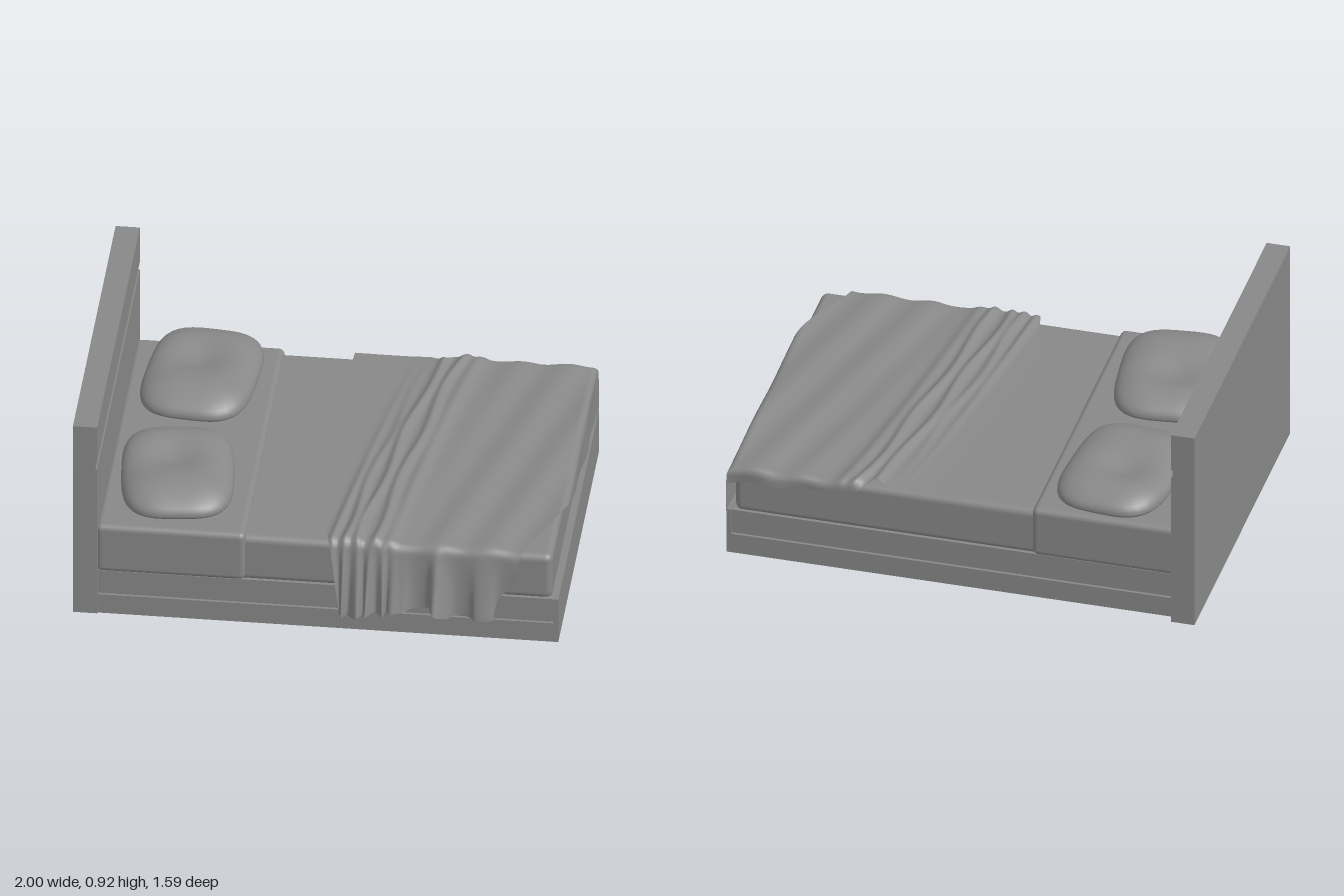
import * as THREE from 'three';
import { mergeVertices } from 'three/addons/utils/BufferGeometryUtils.js';
import { RoundedBoxGeometry } from 'three/addons/geometries/RoundedBoxGeometry.js';

const material = new THREE.MeshStandardMaterial({ color: 0x888888, side: THREE.DoubleSide });

function add(parent, name, geometry) {
  const mesh = new THREE.Mesh(geometry, material);
  mesh.name = name;
  parent.add(mesh);
  return mesh;
}

// Box given by its two extremes; a radius rounds its edges
function box(parent, name, [x0, y0, z0], [x1, y1, z1], radius = 0) {
  const size = [x1 - x0, y1 - y0, z1 - z0];
  const g = radius ? new RoundedBoxGeometry(...size, 4, radius) : new THREE.BoxGeometry(...size);
  g.translate((x0 + x1) / 2, (y0 + y1) / 2, (z0 + z1) / 2);
  return add(parent, name, g);
}

const { lerp, clamp } = THREE.MathUtils;
const bump = (t, width) => Math.exp(-((t / width) ** 2));

// Piecewise linear lookup through [t, value] pairs
function lookup(points, t) {
  let i = 1;
  while (i < points.length - 1 && t > points[i][0]) i++;
  const [t0, a] = points[i - 1], [t1, b] = points[i];
  return lerp(a, b, clamp((t - t0) / (t1 - t0), 0, 1));
}

// Cloth running over an edge: distance past it becomes [outward, down]
function bend(t, r = 0.03) {
  if (t <= 0) return [0, 0];
  const a = Math.min(t / r, Math.PI / 2);
  return [r * Math.sin(a), r * (1 - Math.cos(a)) + Math.max(0, t - r * Math.PI / 2)];
}

// Headboard profile with a shallow square groove on its inner face
function headboardGeometry() {
  const profile = [[-1, 0.01], [-0.9, 0.01], [-0.9, 0.715], [-0.907, 0.715],
    [-0.907, 0.75], [-0.9, 0.75], [-0.9, 0.92], [-1, 0.92]];
  const shape = new THREE.Shape(profile.map(([x, y]) => new THREE.Vector2(x, y)));
  const g = new THREE.ExtrudeGeometry(shape, { depth: 1.505, bevelEnabled: false });
  return g.translate(0, 0, -0.803);
}

// Cushion with a rounded rectangular outline, pinched seam and a dent on top
function pillowGeometry() {
  let g = new THREE.SphereGeometry(1, 56, 32);
  const p = g.attributes.position;
  for (let i = 0; i < p.count; i++) {
    const x = p.getX(i), y = p.getY(i), z = p.getZ(i);
    const rho = Math.hypot(x, z), a = Math.atan2(z, x);
    const c = Math.cos(a), s = Math.sin(a);
    const out = rho * (Math.abs(c) ** 3.4 + Math.abs(s) ** 3.4) ** (-1 / 3.4);
    const px = 0.232 * out * c, pz = 0.322 * out * s;
    const h = Math.abs(y);
    const dent = 0.045 * bump(px + 0.02, 0.13) * bump(pz + 0.05, 0.12) * h;
    const top = 0.09 * h ** 0.9 + 0.012 * bump(Math.abs(pz) - 0.2, 0.08) * h - dent;
    p.setXYZ(i, px, y > 0 ? top : -0.045 * Math.min(1, h * 1.3), pz);
  }
  g.deleteAttribute('uv');
  g.deleteAttribute('normal');
  g = mergeVertices(g, 1e-5);
  g.computeVertexNormals();
  return g;
}

// Blanket outline in flat cloth coordinates
const nearEdge = [[-0.75, -0.005], [0, -0.045], [0.3, -0.035], [0.45, -0.01], [0.6, 0.035], [0.75, 0.07], [1, 0.095]];
const footEdge = [[-0.8, 1.19], [-0.6, 1.18], [-0.3, 1.135], [0, 1.085], [0.2, 1.03], [0.3, 0.99],
  [0.45, 0.94], [0.6, 0.87], [0.68, 0.845], [0.8, 0.81], [0.88, 0.76], [1, 0.72]];
const backHem = [[0, -0.745], [0.26, -0.74], [0.32, -0.71], [0.38, -0.79], [0.7, -0.81], [1, -0.84]];
const frontHem = [[0, 0.973], [0.1, 0.973], [0.13, 0.96], [0.29, 0.95], [0.52, 0.945], [0.6, 0.915], [0.7, 0.965], [1, 0.965]];

function blanketGeometry() {
  const g = new THREE.PlaneGeometry(1, 1, 170, 150).rotateX(-Math.PI / 2);
  const p = g.attributes.position;
  for (let i = 0; i < p.count; i++) {
    const u = p.getX(i) + 0.5, v = p.getZ(i) + 0.5;
    const b = lerp(lookup(backHem, u), lookup(frontHem, u), v);
    const a = lerp(lookup(nearEdge, b), lookup(footEdge, b), u);

    // Drape over the foot, front and back edges
    const [footOut, footDrop] = bend(a - 0.965);
    const [frontOut, frontDrop] = bend(b - 0.65);
    const [backOut, backDrop] = bend(-0.735 - b);
    let x = Math.min(a, 0.965) + footOut;
    let z = clamp(b, -0.735, 0.65) + frontOut - backOut;
    const drop = Math.max(footDrop, frontDrop, backDrop);

    // Curved gathers across the top, softer creases toward the foot
    const t = clamp((b + 0.77) / 1.43, 0, 1);
    const r = a - lerp(0.42, 0.2, t ** 0.75);
    const wobble = 0.01 * Math.sin(b * 9);
    let lift = 0.02 * bump(r - 0.04 + wobble, 0.022) + 0.018 * bump(r + 0.03 - wobble, 0.02)
      + 0.02 * bump(r + 0.085 + wobble, 0.02) * t + 0.016 * bump(r + 0.135, 0.018) * t
      + 0.014 * bump(r - 0.1, 0.03) + 0.01 * bump(r, 0.12);
    lift += 0.006 * (1 + Math.sin((a + 0.2 * b) * 30 + 2 * b)) * clamp((r - 0.1) * 5, 0, 1);
    lift *= 1 - clamp(footDrop * 10, 0, 1);

    // Hanging front: tight pleats near the gathers, broad folds beyond
    const hang = clamp(frontDrop / 0.29, 0, 1);
    const tight = clamp((0.36 - a) / 0.08, 0, 1);
    const pleat = lerp(Math.sin(a * 36 + 2), Math.sin(a * 120), tight);
    z += hang * (lerp(0.045, 0.085, tight) + 0.02 * pleat + 0.05 * bump(a - 0.5, 0.025));
    x += hang * 0.01 * Math.cos(a * 70);
    // Slight waves on the foot and back hems
    x += 0.004 * Math.sin(b * 14) * clamp(footDrop * 8, 0, 1);
    z += 0.006 * Math.sin(a * 22) * clamp(backDrop * 14, 0, 1);
    p.setXYZ(i, Math.min(x, 1), 0.414 + lift * (1 - hang) - drop, z);
  }
  g.computeVertexNormals();
  return g;
}

export function createModel() {
  const bed = new THREE.Group();
  bed.name = 'bed';

  // Frame: wide lower rails, recessed upper rails and a full-height footboard
  add(bed, 'headboard', headboardGeometry());
  box(bed, 'lowerFrame', [-0.93, 0, -0.75], [0.985, 0.09, 0.68]);
  box(bed, 'upperFrame', [-0.92, 0.09, -0.738], [0.985, 0.2, 0.668]);
  box(bed, 'footboard', [0.98, 0, -0.75], [1, 0.207, 0.68]);

  // Mattress and the folded sheet around its head end
  box(bed, 'mattress', [-0.9, 0.19, -0.73], [0.972, 0.402, 0.66], 0.03);
  box(bed, 'sheet', [-0.91, 0.195, -0.745], [-0.293, 0.42, 0.675], 0.025);

  // Two pillows, turned slightly apart
  const shape = pillowGeometry();
  for (const [name, x, z, turn] of [['backPillow', -0.6, -0.43, -0.09], ['frontPillow', -0.613, 0.31, 0.11]]) {
    const pillow = add(bed, name, shape);
    pillow.position.set(x, 0.458, z);
    pillow.rotation.y = turn;
  }

  add(bed, 'blanket', blanketGeometry());
  return bed;
}
